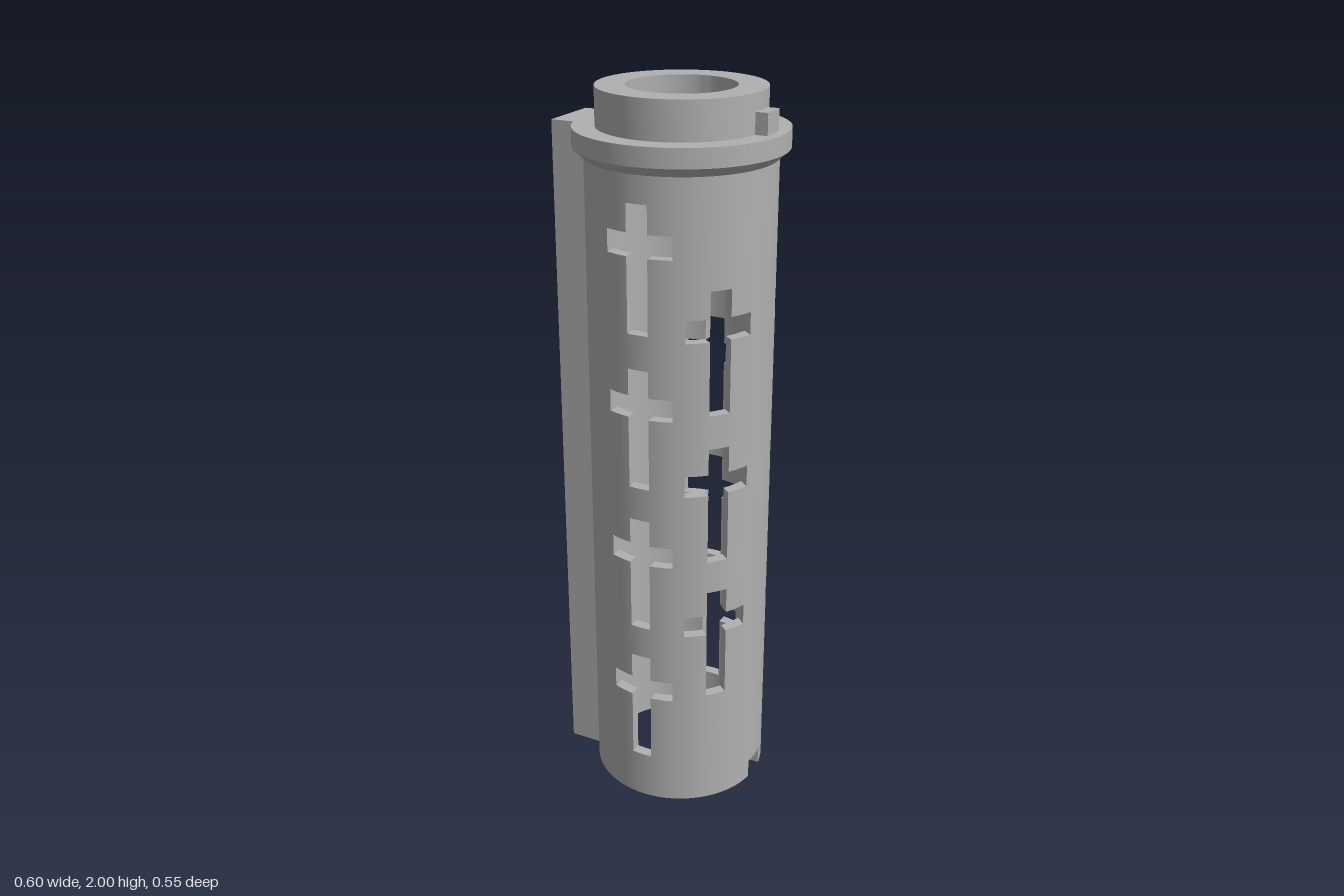
import * as THREE from 'three';
import { toCreasedNormals } from 'three/addons/utils/BufferGeometryUtils.js';

const CX = 0.025;              // tube axis
const R = 0.248, RI = 0.218;   // wall radii
const WALL_TOP = 1.825;
const RAD = Math.PI / 180;

// Cutouts: straight-sided openings at an angle, made of [halfWidth, y0, y1] slots
const cutouts = [];
function addCrosses(angle, count, firstY) {
  const slots = [];
  for (let i = 0; i < count; i++) {
    const y = firstY + i * 0.427;
    slots.push([0.029, y, y + 0.333], [0.09, y + 0.2, y + 0.26]);
  }
  cutouts.push({ angle: angle * RAD, slots });
}
addCrosses(-90, 4, 0.14);
addCrosses(90, 4, 0.14);
addCrosses(-40, 3, 0.353);
addCrosses(40, 3, 0.353);
cutouts.push({ angle: 0, slots: [[0.037, 0, 0.055]] }); // locking notch

function isSolid(a, y) {
  return !cutouts.some(c => Math.cos(a - c.angle) > 0 && c.slots.some(
    ([w, y0, y1]) => Math.abs(R * Math.sin(a - c.angle)) < w && y > y0 && y < y1));
}

// Perforated wall: a grid in angle and height, with walls around the openings
function wallGeometry() {
  const stops = []; // [outer angle, inner angle]
  const crossSteps = [0, 0.015, 0.029, 0.045, 0.06, 0.075, 0.09];
  for (const c of cutouts) {
    const steps = c.angle === 0 ? [0, 0.019, 0.037] : crossSteps;
    for (const w of steps) for (const s of w ? [-1, 1] : [1]) {
      stops.push([c.angle + s * Math.asin(w / R), c.angle + s * Math.asin(w / RI)]);
    }
  }
  for (const a of [-13, 13]) stops.push([a * RAD, a * RAD]);
  for (let a = 117; a <= 243.1; a += 4.2) stops.push([a * RAD, a * RAD]);
  stops.sort((p, q) => p[0] - q[0]);
  const n = stops.length;
  stops.push(stops[0].map(a => a + 2 * Math.PI));

  const ys = [...new Set([0, WALL_TOP, ...cutouts.flatMap(c => c.slots.flatMap(s => [s[1], s[2]]))]
    .map(y => +y.toFixed(4)))].sort((a, b) => a - b);
  const solid = (i, j) => {
    const k = (i + n) % n;
    return j >= 0 && isSolid((stops[k][0] + stops[k + 1][0]) / 2, (ys[j] + ys[j + 1]) / 2);
  };

  const pos = [], nor = [];
  const point = (i, inner, j) => {
    const a = stops[i][inner], r = inner ? RI : R;
    return new THREE.Vector3(CX + r * Math.cos(a), ys[j], r * Math.sin(a));
  };
  // radial: 1 = outward smooth normals, -1 = inward, 0 = flat
  function quad(corners, radial) {
    const p = corners.map(c => point(...c));
    const flat = p[1].clone().sub(p[0]).cross(p[2].clone().sub(p[0])).normalize();
    for (const k of [0, 1, 2, 0, 2, 3]) {
      const a = stops[corners[k][0]][corners[k][1]];
      pos.push(...p[k].toArray());
      nor.push(...(radial ? [radial * Math.cos(a), 0, radial * Math.sin(a)] : flat.toArray()));
    }
  }
  for (let j = 0; j < ys.length - 1; j++) for (let i = 0; i < n; i++) {
    if (!solid(i, j)) continue;
    const k = i + 1, t = j + 1;
    quad([[k, 0, j], [i, 0, j], [i, 0, t], [k, 0, t]], 1);
    quad([[i, 1, j], [k, 1, j], [k, 1, t], [i, 1, t]], -1);
    if (!solid(i + 1, j)) quad([[k, 1, j], [k, 0, j], [k, 0, t], [k, 1, t]], 0);
    if (!solid(i - 1, j)) quad([[i, 0, j], [i, 1, j], [i, 1, t], [i, 0, t]], 0);
    if (t < ys.length - 1 && !solid(i, t)) quad([[k, 0, t], [i, 0, t], [i, 1, t], [k, 1, t]], 0);
    if (!solid(i, j - 1)) quad([[k, 1, j], [i, 1, j], [i, 0, j], [k, 0, j]], 0);
  }
  const g = new THREE.BufferGeometry();
  g.setAttribute('position', new THREE.Float32BufferAttribute(pos, 3));
  g.setAttribute('normal', new THREE.Float32BufferAttribute(nor, 3));
  return g;
}

// Collar and neck, one closed turned profile
function collarGeometry() {
  const profile = [
    [0.141, WALL_TOP], [R, WALL_TOP], [0.277, 1.85], [0.277, 1.9],
    [0.2178, 1.9], [0.2178, 2], [0.141, 2], [0.141, WALL_TOP],
  ].map(p => new THREE.Vector2(...p));
  const g = toCreasedNormals(new THREE.LatheGeometry(profile, 96), 30 * RAD);
  return g.translate(CX, 0, 0);
}

// Box from its min and max corners, centred on z = 0
function box(x0, x1, y0, y1, halfZ) {
  return new THREE.BoxGeometry(x1 - x0, y1 - y0, halfZ * 2)
    .translate((x0 + x1) / 2, (y0 + y1) / 2, 0);
}

export function createModel() {
  const grey = new THREE.MeshStandardMaterial({ color: 0xb0b0b0 });
  grey.name = 'grey';
  const group = new THREE.Group();
  group.name = 'perforatedTube';
  const add = (name, geometry) => {
    const mesh = new THREE.Mesh(geometry, grey);
    mesh.name = name;
    group.add(mesh);
  };
  add('tubeWall', wallGeometry());
  add('collarAndNeck', collarGeometry());
  add('sideRail', box(-0.302, -0.2, 0, 1.9, 0.088));
  add('lockingPin', box(0.23, 0.273, 1.9, 1.955, 0.035));
  return group;
}
